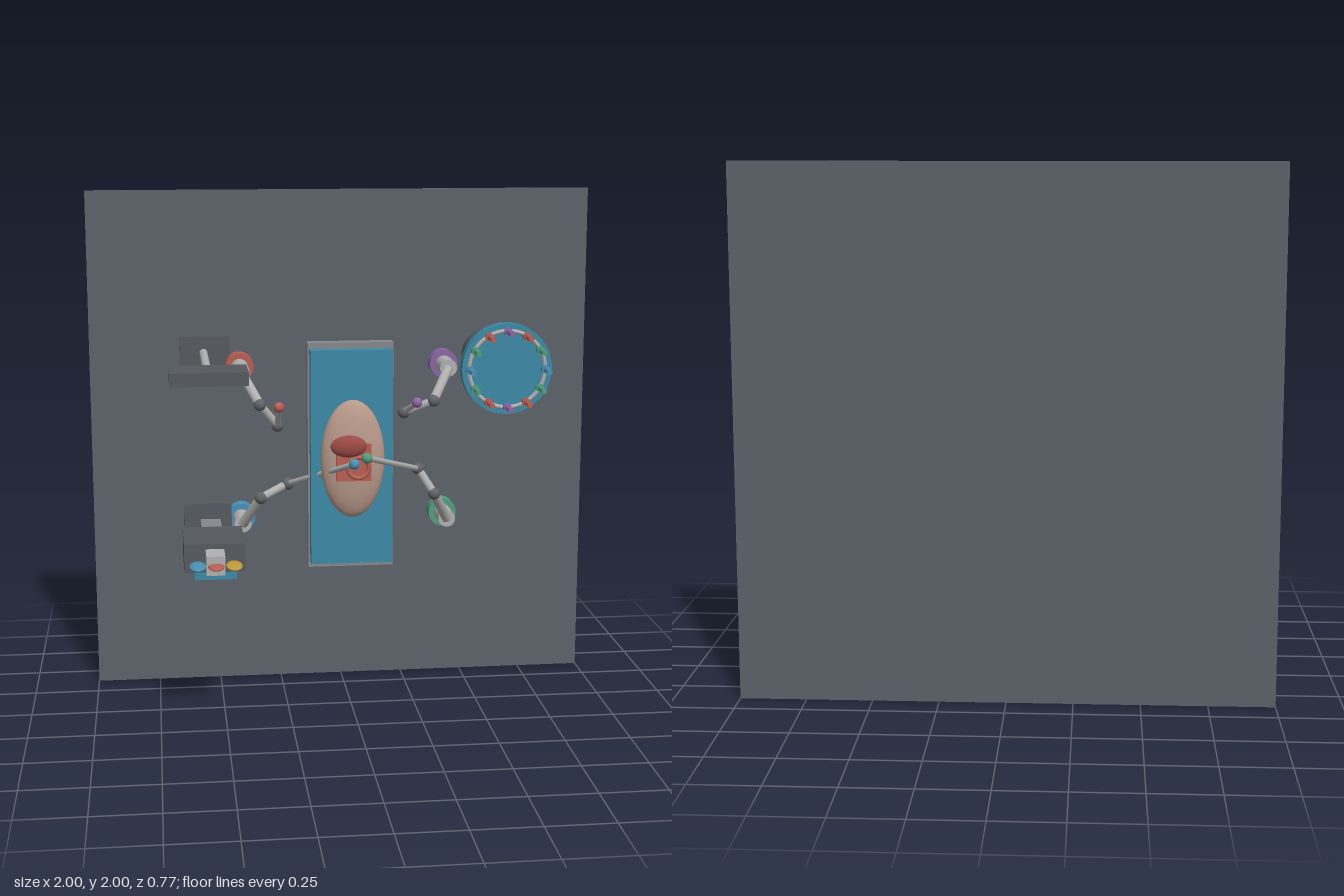
import * as THREE from 'three';

const C = {
  floor: 0x5c626a, dark: 0x55595e, grey: 0x85888c, metal: 0xb0b0b0, joint: 0x606266, blue: 0x3c8aa6,
  red: 0xb85f54, organ: 0x9c4a46, skin: 0xb8998a, green: 0x4f9d7e, purple: 0x8b66a5, yellow: 0xc09a3c, azure: 0x4a90b8,
};
const mats = {};
const mat = (c) => (mats[c] ??= new THREE.MeshStandardMaterial({ color: C[c] }));

export function createModel() {
  const model = new THREE.Group();
  const add = (name, geo, color, x, y, z, parent = model) => {
    const m = new THREE.Mesh(geo, mat(color));
    m.name = name;
    m.position.set(x, y, z);
    parent.add(m);
    return m;
  };
  // box given by its min and max on each axis
  const box = (name, color, [x0, x1], [y0, y1], [z0, z1], parent) =>
    add(name, new THREE.BoxGeometry(x1 - x0, y1 - y0, z1 - z0), color, (x0 + x1) / 2, (y0 + y1) / 2, (z0 + z1) / 2, parent);
  // cylinder between two points
  const rod = (name, color, a, b, r, parent, sides = 24) => {
    const p = new THREE.Vector3(...a), q = new THREE.Vector3(...b);
    const d = q.clone().sub(p), mid = p.clone().add(q).multiplyScalar(0.5);
    const m = add(name, new THREE.CylinderGeometry(r, r, d.length(), sides), color, mid.x, mid.y, mid.z, parent);
    m.quaternion.setFromUnitVectors(new THREE.Vector3(0, 1, 0), d.normalize());
    return m;
  };
  const ball = (name, color, [x, y, z], [rx, ry, rz], parent) => {
    const m = add(name, new THREE.SphereGeometry(1, 32, 20), color, x, y, z, parent);
    m.scale.set(rx, ry, rz);
    return m;
  };

  // floor slab, standing upright behind everything
  box('floor', 'floor', [-1, 1], [0, 2], [-0.385, -0.372]);

  // operating table and patient
  const table = new THREE.Group();
  table.name = 'operatingTable';
  model.add(table);
  rod('tablePedestal', 'dark', [0, 1, -0.375], [0, 1, -0.06], 0.078, table, 32);
  box('tableFrame', 'grey', [-0.165, 0.165], [0.56, 1.44], [-0.064, -0.01], table);
  box('mattress', 'blue', [-0.158, 0.158], [0.583, 1.417], [-0.01, 0.035], table);
  ball('patientBody', 'skin', [0, 1.003, 0.06], [0.123, 0.228, 0.055], table);
  box('incision', 'red', [-0.068, 0.065], [0.928, 1.07], [0.085, 0.122], table);
  add('incisionRing', new THREE.TorusGeometry(0.04, 0.008, 10, 28), 'red', 0.015, 0.98, 0.124, table);
  ball('organ', 'organ', [-0.022, 1.064, 0.125], [0.069, 0.042, 0.022], table);

  // four jointed arms: base, elbow, wrist, tool tip
  const arms = [
    ['upperRightArm', 'red', [-0.41, 1.307], [-0.343, 1.19, -0.1], [-0.273, 1.1, -0.135], [-0.273, 1.19, -0.035]],
    ['upperLeftArm', 'purple', [0.41, 1.307], [0.337, 1.193, -0.1], [0.225, 1.143, -0.135], [0.262, 1.198, -0.035]],
    ['lowerRightArm', 'azure', [-0.41, 0.695], [-0.343, 0.82, -0.1], [-0.235, 0.867, -0.135], [-0.01, 1.012, 0.205]],
    ['lowerLeftArm', 'green', [0.41, 0.695], [0.343, 0.82, -0.1], [0.283, 0.915, -0.135], [0.037, 1.035, 0.21]],
  ];
  for (const [name, color, [x, y], elbow, wrist, tip] of arms) {
    const arm = new THREE.Group();
    arm.name = name;
    model.add(arm);
    rod('armBase', color, [x, y, -0.355], [x, y, -0.298], 0.056, arm, 32);
    rod('armColumn', 'metal', [x, y, -0.298], [x, y, -0.185], 0.034, arm);
    rod('upperArm', 'metal', [x, y, -0.19], elbow, 0.019, arm, 16);
    rod('forearm', 'metal', elbow, wrist, 0.016, arm, 16);
    rod('toolShaft', 'metal', wrist, tip, 0.011, arm, 12);
    for (const p of [elbow, wrist]) ball('armJoint', 'joint', p, [0.024, 0.024, 0.024], arm);
    ball('toolTip', color, tip, [0.02, 0.02, 0.02], arm);
  }

  // instrument tray on its stand
  const tray = new THREE.Group();
  tray.name = 'trayStand';
  model.add(tray);
  box('trayBase', 'dark', [-0.645, -0.445], [1.28, 1.425], [-0.375, -0.347], tray);
  rod('trayPost', 'metal', [-0.55, 1.36, -0.35], [-0.55, 1.36, 0.13], 0.016, tray);
  box('trayTop', 'dark', [-0.693, -0.405], [1.333, 1.383], [0.12, 0.31], tray);

  // supply cart with three coloured paddles
  const cart = new THREE.Group();
  cart.name = 'supplyCart';
  model.add(cart);
  box('cartBase', 'dark', [-0.64, -0.45], [0.56, 0.76], [-0.33, -0.277], cart);
  box('cartNeck', 'grey', [-0.575, -0.495], [0.625, 0.697], [-0.28, -0.08], cart);
  box('cartBody', 'dark', [-0.65, -0.42], [0.605, 0.715], [-0.08, 0.185], cart);
  box('cartHead', 'metal', [-0.57, -0.5], [0.622, 0.695], [0.185, 0.295], cart);
  [['azure', -0.602], ['red', -0.534], ['yellow', -0.467]].forEach(([c, x]) =>
    ball('paddle', c, [x, 0.658, 0.293], [0.031, 0.01, 0.065], cart));
  for (const z of [0.108, 0.035]) box('cartDrawer', 'blue', [-0.612, -0.45], [0.56, 0.606], [z - 0.023, z + 0.023], cart);
  rod('cartKnob', 'green', [-0.535, 0.54, -0.132], [-0.535, 0.592, -0.132], 0.022, cart);

  // round tool carousel with twelve pegs
  const carousel = new THREE.Group();
  carousel.name = 'toolCarousel';
  carousel.position.set(0.545, 1.376, 0);
  model.add(carousel);
  rod('carouselBase', 'dark', [0, 0, -0.09], [0, 0, -0.016], 0.102, carousel, 40);
  rod('carouselPost', 'metal', [0, 0, -0.016], [0, 0, 0.255], 0.031, carousel);
  rod('carouselDisc', 'blue', [0, 0, 0.252], [0, 0, 0.297], 0.168, carousel, 48);
  add('carouselRing', new THREE.TorusGeometry(0.142, 0.008, 8, 48), 'metal', 0, 0, 0.298, carousel);
  const pegColors = ['purple', 'red', 'green', 'azure', 'green', 'red', 'purple'];
  for (let i = 0; i < 12; i++) {
    const a = (i * Math.PI) / 6, x = 0.14 * Math.sin(a), y = 0.14 * Math.cos(a);
    const color = pegColors[Math.min(i, 12 - i)];
    rod('pegCollar', color, [x, y, 0.295], [x, y, 0.32], 0.015, carousel, 16);
    rod('peg', color, [x, y, 0.32], [x, y, 0.385], 0.01, carousel, 12);
  }
  return model;
}
